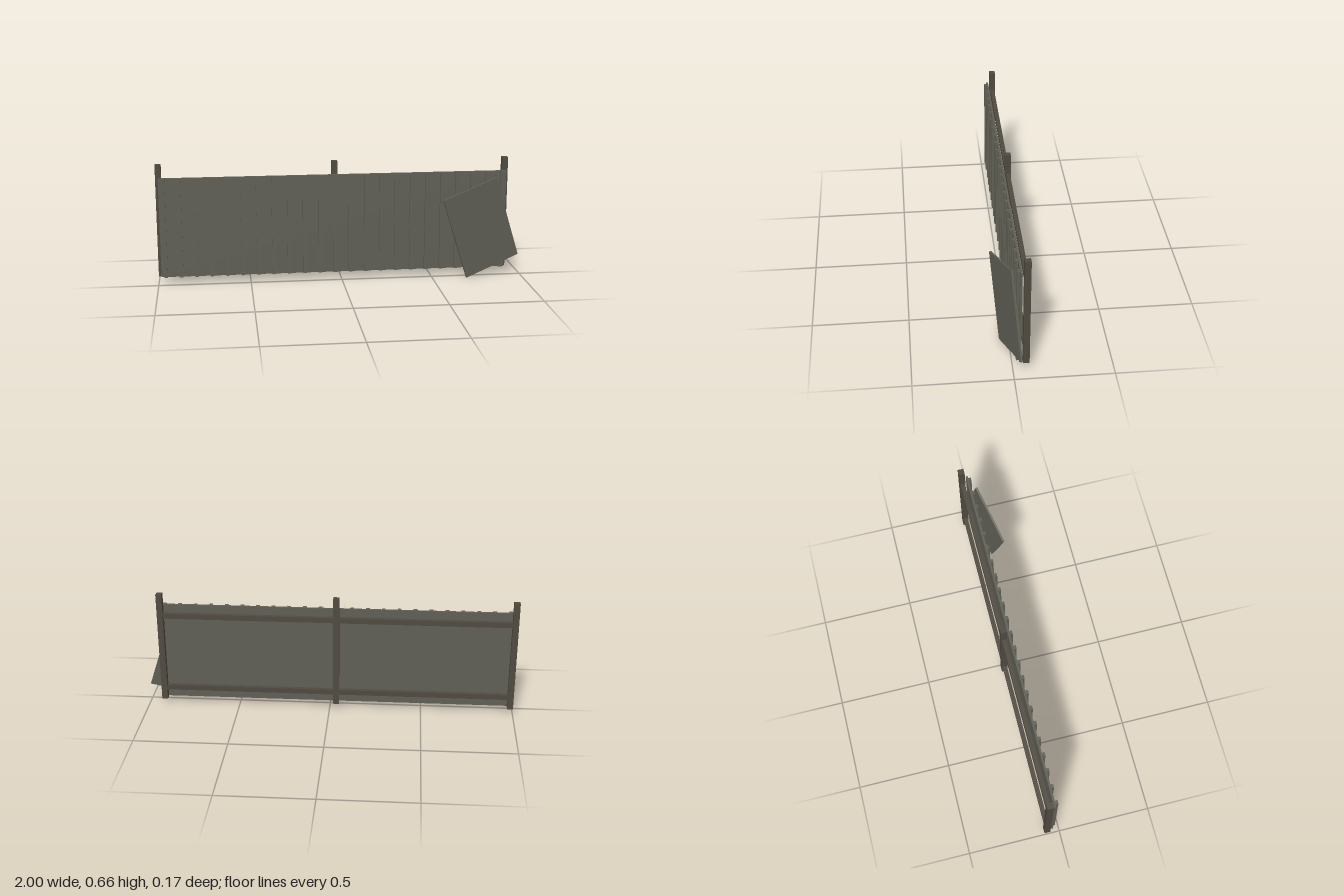
import * as THREE from 'three';

const sheetMat = new THREE.MeshStandardMaterial({ color: 0x5f5f55 });
const postMat = new THREE.MeshStandardMaterial({ color: 0x4f4a40 });

// Box given by its lower and upper bounds on each axis
function bar(name, mat, [x0, x1], [y0, y1], [z0, z1]) {
  const mesh = new THREE.Mesh(new THREE.BoxGeometry(x1 - x0, y1 - y0, z1 - z0), mat);
  mesh.position.set((x0 + x1) / 2, (y0 + y1) / 2, (z0 + z1) / 2);
  mesh.name = name;
  return mesh;
}

export function createModel() {
  const group = new THREE.Group();
  group.name = 'corrugatedFence';
  const left = -0.985, right = 0.915, bottom = 0.04, top = 0.588;

  // Wall sheet with raised vertical ribs on the front
  group.add(bar('wallSheet', sheetMat, [left, right], [bottom, top], [-0.043, -0.032]));
  const ribs = new THREE.Group();
  ribs.name = 'ribs';
  const ribCount = 23;
  for (let i = 0; i < ribCount; i++) {
    const x = -0.96 + i * 0.0842;
    ribs.add(bar('rib', sheetMat, [x - 0.01, x + 0.01], [bottom, top], [-0.032, -0.018]));
  }
  group.add(ribs);

  // Posts behind the wall
  for (const x of [-0.984, -0.036, 0.911]) {
    group.add(bar('post', postMat, [x - 0.016, x + 0.016], [bottom, 0.658], [-0.083, -0.051]));
  }

  // Horizontal rails
  for (const y of [0.108, 0.533]) {
    group.add(bar('rail', postMat, [left, right], [y - 0.014, y + 0.014], [-0.078, -0.055]));
  }

  // Loose sheet leaning against the wall, placed from its top left corner and two edges
  const corner = new THREE.Vector3(0.545, 0.452, 0.084);
  const across = new THREE.Vector3(0.307, 0.105, -0.078);
  const down = new THREE.Vector3(0.145, -0.449, -0.037);
  const thickness = 0.011;
  const xAxis = across.clone().normalize();
  const yAxis = down.clone().negate().normalize();
  const zAxis = xAxis.clone().cross(yAxis).normalize();
  const loose = new THREE.Mesh(
    new THREE.BoxGeometry(across.length(), down.length(), thickness), sheetMat);
  loose.name = 'looseSheet';
  loose.quaternion.setFromRotationMatrix(new THREE.Matrix4().makeBasis(xAxis, yAxis, zAxis));
  loose.position.copy(corner).addScaledVector(across, 0.5).addScaledVector(down, 0.5)
    .addScaledVector(zAxis, -thickness / 2);
  group.add(loose);

  return group;
}
